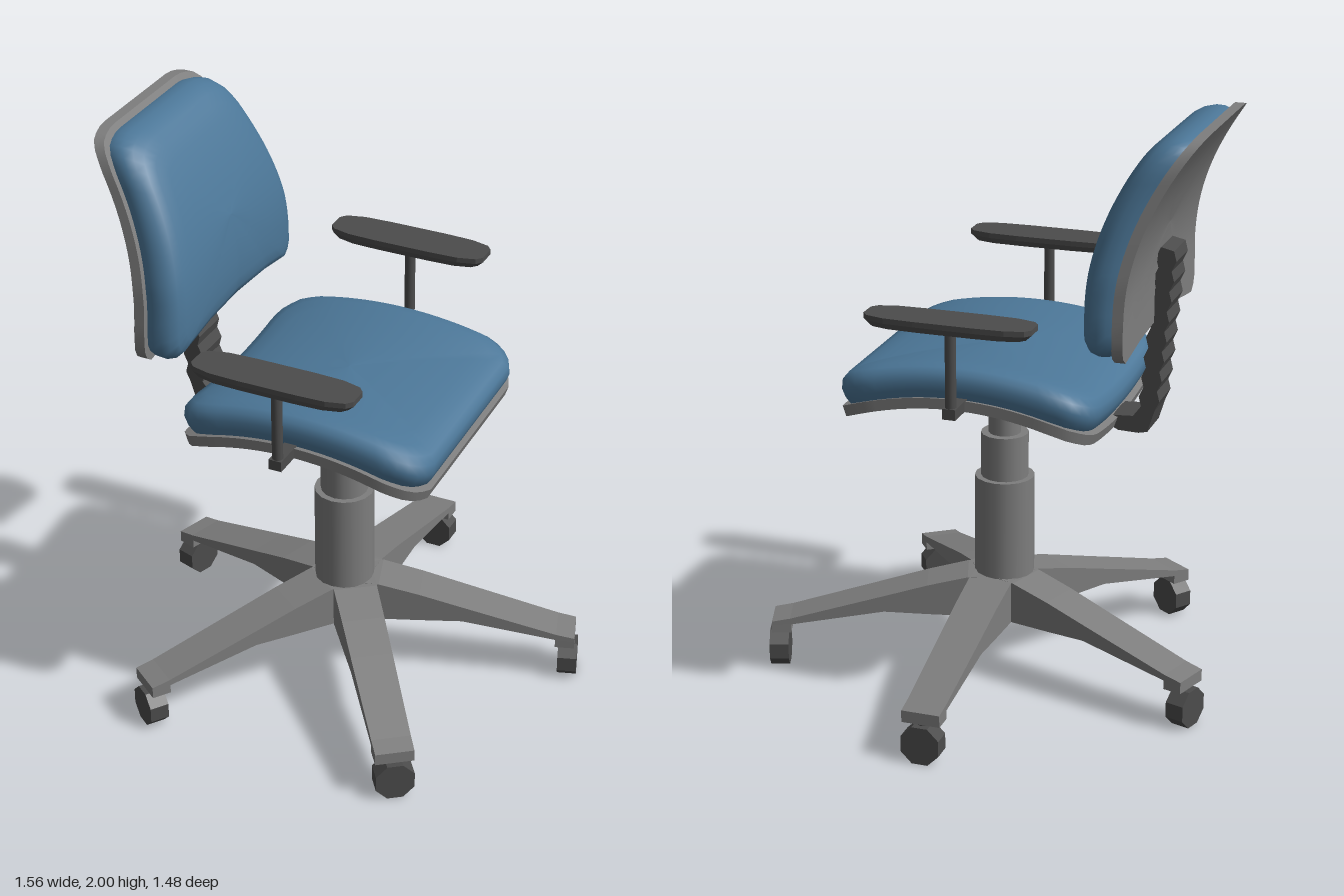
import * as THREE from 'three';

const CZ = 0.07; // centre line of seat, backrest and column in z
const BASE_Z = 0.057; // centre of the five-legged base in z

const mat = (name, color) => {
  const m = new THREE.MeshStandardMaterial({ color });
  m.name = name;
  return m;
};

// Faceted copy of a geometry
function flat(geo) {
  const g = geo.index ? geo.toNonIndexed() : geo;
  g.computeVertexNormals();
  return g;
}

const shapeOf = (pts) => new THREE.Shape(pts.map(([x, y]) => new THREE.Vector2(x, y)));

// Skin an outline through rings of [scale, height]; place() bends it into space
function skin(outline, rings, place) {
  const n = outline.length, pos = [], idx = [];
  for (const [s, h] of rings) for (const p of outline) pos.push(...place(p.x, p.y, s, h));
  for (let i = 0; i < rings.length - 1; i++) {
    for (let j = 0; j < n; j++) {
      const a = i * n + j, b = i * n + (j + 1) % n, c = a + n, d = b + n;
      idx.push(a, d, b, a, c, d);
    }
  }
  const g = new THREE.BufferGeometry();
  g.setAttribute('position', new THREE.Float32BufferAttribute(pos, 3));
  g.setIndex(idx);
  g.computeVertexNormals();
  return g;
}

export function createModel() {
  const blue = mat('blue fabric', 0x4c7798);
  const grey = mat('grey plastic', 0x7e7e7e);
  const dark = mat('dark plastic', 0x4c4c4c);
  const root = new THREE.Group();
  root.name = 'officeChair';

  function add(parent, name, geo, material, x = 0, y = 0, z = 0) {
    const m = new THREE.Mesh(geo, material);
    m.name = name;
    m.position.set(x, y, z);
    parent.add(m);
    return m;
  }

  // Upholstered panel: grey shell (backing and rim) with a blue cushion
  function panel(name, outline, place, thickness) {
    const g = new THREE.Group();
    g.name = name;
    root.add(g);
    const t = 0.036, c = thickness - t;
    const backing = [0, 0.25, 0.5, 0.75, 1].map((s) => [s, 0]);
    const rim = [[1, 0], [1, t], [1, t], [0.93, t]];
    const cushion = [[0.95, 0], [0.968, 0.2], [0.972, 0.45], [0.95, 0.7], [0.9, 0.86],
      [0.82, 0.95], [0.7, 0.985], [0.5, 1], [0.25, 1], [0, 1]].map(([s, h]) => [s, t + h * c]);
    add(g, name + 'Backing', skin(outline, backing, place), grey);
    add(g, name + 'Rim', skin(outline, rim, place), grey);
    add(g, name + 'Cushion', skin(outline, cushion, place), blue);
  }

  // Seat: rounded square bent into a saddle, thickness fanning out along its normal
  const seatPts = [];
  const half = 0.437, r = 0.12;
  for (let q = 0; q < 4; q++) {
    const mid = (q + 0.5) * Math.PI / 2;
    const cx = Math.sign(Math.cos(mid)) * (half - r), cy = Math.sign(Math.sin(mid)) * (half - r);
    for (let k = 0; k <= 3; k++) {
      const a = (q + k / 3) * Math.PI / 2;
      seatPts.push([cx + r * Math.cos(a), cy + r * Math.sin(a)]);
    }
  }
  const seatOutline = shapeOf(seatPts).getSpacedPoints(72).slice(0, 72);
  panel('seat', seatOutline, (u, v, s, h) => {
    const x = u * s * 0.968, z = v * s;
    return [x * (1 + 0.8 * h) + 0.007, 1.03 - 0.46 * x * x + 0.27 * z * z + h, z + CZ];
  }, 0.154);

  // Backrest: tapered outline, leaning away towards the top
  const side = [[0.2, 1.32], [0.33, 1.3], [0.4, 1.29], [0.435, 1.32], [0.435, 1.4], [0.42, 1.55],
    [0.385, 1.72], [0.345, 1.9], [0.325, 1.95], [0.29, 1.985], [0.22, 2]];
  const backPts = [[0, 1.33], ...side, ...side.map(([w, y]) => [-w, y]).reverse()];
  const backOutline = shapeOf(backPts).getSpacedPoints(80).slice(0, 80);
  panel('backrest', backOutline, (u, v, s, h) => {
    const y = 1.65 + (v - 1.65) * s;
    const lean = Math.max(0, y - 1.45);
    return [-0.545 - 0.69 * lean * lean + h, y, u * s + CZ];
  }, 0.155);

  // Ribbed support bar joining seat and backrest
  const rear = [], front = [];
  for (let i = 0; i <= 16; i++) {
    const t = i / 16, rib = i % 2 ? 0.008 : -0.004;
    rear.push([-0.557 - 0.053 * t - rib, 1.02 + 0.55 * t]);
    front.push([-0.503 - 0.055 * t + rib, 1.03 + 0.55 * t]);
  }
  const barShape = shapeOf([[-0.4, 0.99], [-0.48, 0.995], ...front, ...rear.reverse(),
    [-0.53, 0.945], [-0.5, 0.938], [-0.43, 0.94], [-0.4, 0.955]]);
  const barGeo = new THREE.ExtrudeGeometry(barShape, { depth: 0.14, bevelEnabled: false });
  add(root, 'backSupport', flat(barGeo), dark, 0, 0, CZ - 0.07);

  // Armrests, mirrored about the centre line; pads narrow towards the underside
  const padHalf = [[0.28, -0.032], [0.28, 0.032], [0.262, 0.053], [0.2, 0.069], [0.1, 0.073]];
  const padShape = shapeOf([...padHalf, ...padHalf.slice(1).reverse().map(([x, y]) => [-x, y]),
    ...padHalf.slice(1).map(([x, y]) => [-x, -y]), ...padHalf.slice(2).reverse().map(([x, y]) => [x, -y])]);
  const padGeo = new THREE.ExtrudeGeometry(padShape, { depth: 0.036, steps: 2, bevelEnabled: false });
  const pp = padGeo.attributes.position;
  for (let i = 0; i < pp.count; i++) {
    const s = pp.getZ(i) < 0.01 ? 0.93 : 1;
    pp.setXY(i, pp.getX(i) * s, pp.getY(i) * s);
  }
  padGeo.rotateX(-Math.PI / 2);
  for (const [s, name] of [[1, 'frontArmrest'], [-1, 'rearArmrest']]) {
    const arm = new THREE.Group();
    arm.name = name;
    arm.position.z = CZ;
    root.add(arm);
    add(arm, 'armPad', flat(padGeo), dark, -0.003, 1.38, s * 0.508);
    add(arm, 'armPost', new THREE.CylinderGeometry(0.018, 0.018, 0.29, 10), dark, -0.003, 1.24, s * 0.507);
    add(arm, 'armBracket', new THREE.BoxGeometry(0.044, 0.036, 0.11), dark, -0.003, 1.1, s * 0.472);
  }

  // Telescopic column: [radius, bottom, top]
  [[0.102, 0.22, 0.705], [0.081, 0.7, 0.86], [0.055, 0.85, 1.04]].forEach(([rad, y0, y1], i) => {
    add(root, 'column' + (i + 1), new THREE.CylinderGeometry(rad, rad, y1 - y0, 16), grey,
      -0.012, (y0 + y1) / 2, CZ);
  });

  // Five-legged base; leg sections are [distance, half width, top, bottom]
  const sec = [[0, 0.075, 0.36, 0.21], [0.11, 0.075, 0.355, 0.21], [0.25, 0.073, 0.322, 0.215],
    [0.4, 0.071, 0.28, 0.222], [0.725, 0.066, 0.19, 0.168], [0.788, 0.065, 0.178, 0.165]];
  const legGeo = new THREE.BoxGeometry(1, 1, 1, 1, 1, sec.length - 1);
  const p = legGeo.attributes.position;
  for (let i = 0; i < p.count; i++) {
    const [d, w, top, bottom] = sec[Math.round((p.getZ(i) + 0.5) * (sec.length - 1))];
    p.setXYZ(i, Math.sign(p.getX(i)) * w, p.getY(i) > 0 ? top : bottom, d);
  }
  const wheelGeo = new THREE.CylinderGeometry(0.07, 0.07, 0.066, 8);
  wheelGeo.rotateY(Math.PI / 8).rotateX(Math.PI / 2);
  for (let k = 0; k < 5; k++) {
    const leg = new THREE.Group();
    leg.name = 'leg' + (k + 1);
    leg.position.z = BASE_Z;
    leg.rotation.y = Math.PI + k * Math.PI * 0.4;
    root.add(leg);
    add(leg, 'legArm', flat(legGeo), grey);
    add(leg, 'casterMount', new THREE.BoxGeometry(0.13, 0.038, 0.066), grey, 0, 0.156, 0.755);
    add(leg, 'casterStem', new THREE.CylinderGeometry(0.018, 0.018, 0.04, 8), dark, 0, 0.135, 0.763);
    add(leg, 'wheel', flat(wheelGeo), dark, 0, 0.0647, 0.766);
  }
  return root;
}
